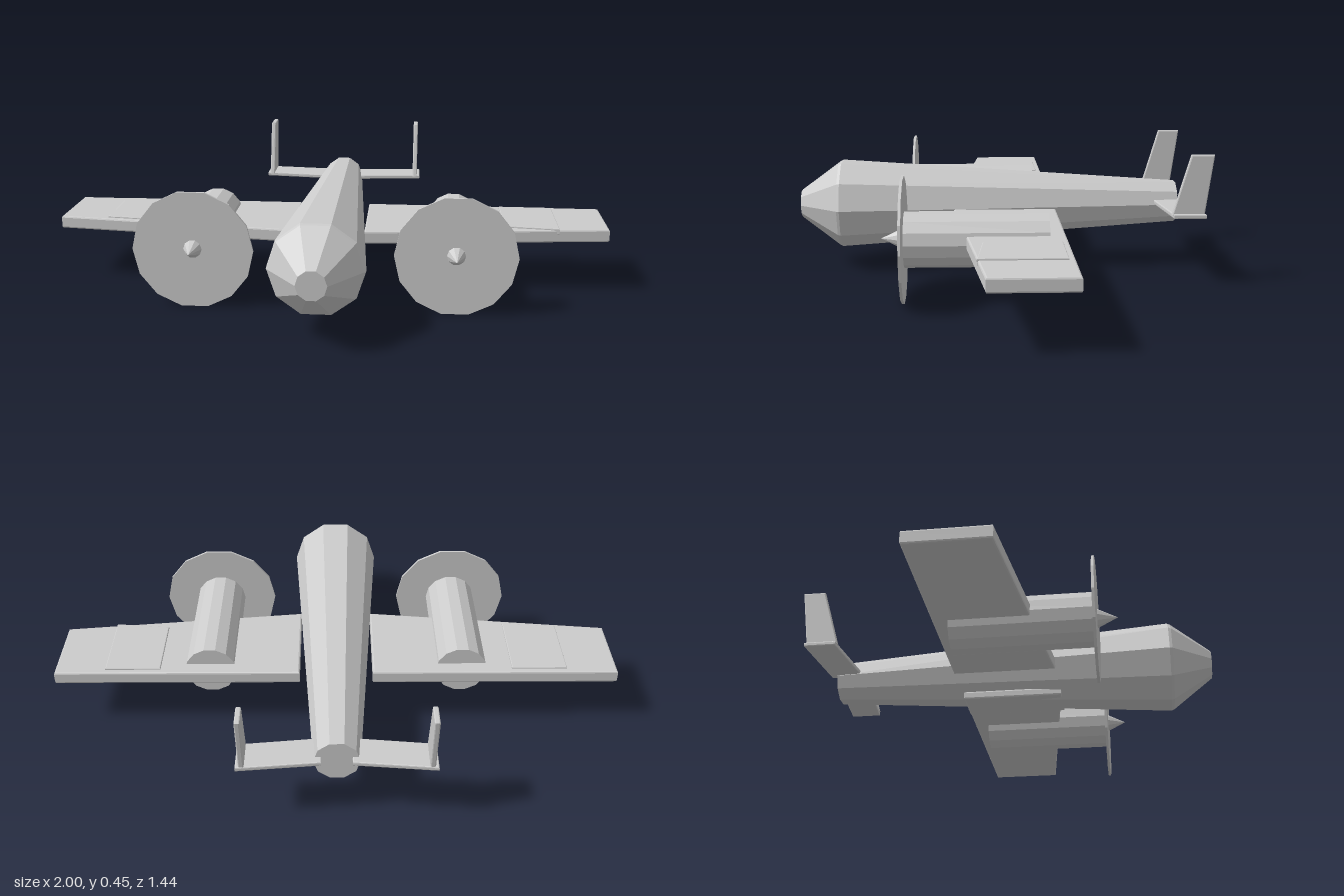
import * as THREE from 'three';

const grey = new THREE.MeshStandardMaterial({ color: 0xcccccc, flatShading: true });

function part(name, geometry, x = 0, y = 0, z = 0) {
  const mesh = new THREE.Mesh(geometry, grey);
  mesh.name = name;
  mesh.position.set(x, y, z);
  return mesh;
}

// Bevelled plate from a 2D outline; the thickness runs along local z from 0.
function plate(points, thickness, bevel) {
  const shape = new THREE.Shape(points.map(([a, b]) => new THREE.Vector2(a, b)));
  const geometry = new THREE.ExtrudeGeometry(shape, {
    depth: thickness - 2 * bevel, bevelThickness: bevel, bevelSize: bevel,
    bevelOffset: -bevel, bevelSegments: 2,
  });
  return geometry.translate(0, 0, bevel);
}

// Horizontal plate: outline in (x, z), lying between y = bottom and y = top.
function slab(points, bottom, top, bevel = 0.006) {
  return plate(points, top - bottom, bevel).rotateX(Math.PI / 2).translate(0, top, 0);
}

// Cylinder or cone along z, with corners at its left and right.
function rod(front, back, z0, z1, sides) {
  return new THREE.CylinderGeometry(front, back, z1 - z0, sides, 1, false, Math.PI / 2)
    .rotateX(Math.PI / 2).translate(0, 0, (z0 + z1) / 2);
}

export function createModel() {
  const model = new THREE.Group();
  model.name = 'aircraft';

  // Ten-sided fuselage with a blunt tapered nose
  const profile = [[0, -0.65], [0.076, -0.65], [0.16, 0.57], [0.156, 0.58], [0.05, 0.72], [0, 0.72]]
    .map(([r, z]) => new THREE.Vector2(r, z));
  const hull = new THREE.LatheGeometry(profile, 10, Math.PI / 2).rotateX(Math.PI / 2);
  model.add(part('fuselage', hull, 0, 0.236, 0));

  // Belly plate
  model.add(part('bellyPlate',
    slab([[-0.075, -0.172], [0.075, -0.172], [0.075, 0.18], [-0.075, 0.18]], 0.115, 0.145)));

  for (const s of [1, -1]) {
    const side = s > 0 ? 'left' : 'right';
    const mirror = (points) => points.map(([x, z]) => [s * x, z]);

    // Wing with swept leading edge
    model.add(part(side + 'Wing',
      slab(mirror([[0.13, -0.2], [1, -0.2], [1, 0.068], [0.13, 0.165]]), 0.19, 0.236)));

    // Raised wing panel, same shape on both sides
    const cx = s * 0.723;
    model.add(part(side + 'WingPanel',
      slab([[cx - 0.098, -0.18], [cx + 0.098, -0.18], [cx + 0.098, 0.09], [cx - 0.098, 0.07]],
        0.22, 0.242, 0.003)));

    // Engine with propeller disc and spinner
    const engine = new THREE.Group();
    engine.name = side + 'Engine';
    engine.position.set(s * 0.45, 0.207, 0);
    engine.add(part('nacelle', rod(0.092, 0.092, -0.148, 0.322, 14)));
    engine.add(part('propellerDisc', rod(0.21, 0.21, 0.322, 0.331, 14)));
    engine.add(part('spinner', rod(0, 0.032, 0.331, 0.398, 10), 0, 0.004, 0));
    model.add(engine);

    // Tailplane
    model.add(part(side + 'Tailplane',
      slab(mirror([[0.05, -0.675], [0.322, -0.7], [0.322, -0.588], [0.05, -0.56]]), 0.238, 0.254, 0.004)));

    // Swept tail fin: outline in (-z, y), turned upright
    const fin = plate([[0.583, 0.248], [0.695, 0.248], [0.722, 0.457], [0.643, 0.457]], 0.018, 0.004)
      .translate(0, 0, -0.009).rotateY(Math.PI / 2);
    model.add(part(side + 'Fin', fin, s * 0.302, 0, 0));
  }
  return model;
}
